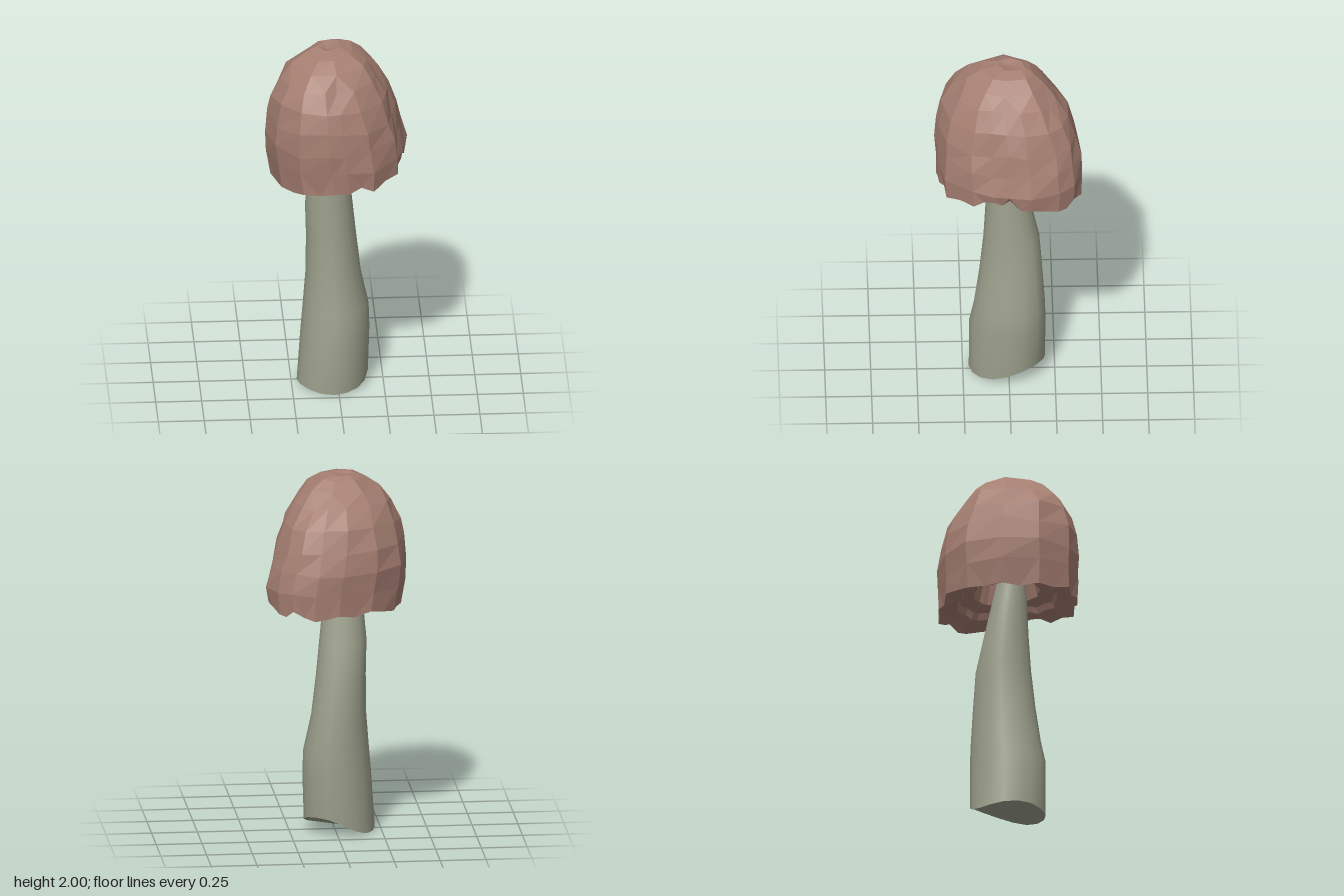
import * as THREE from 'three';
import { toCreasedNormals } from 'three/addons/utils/BufferGeometryUtils.js';

// Skin a list of closed rings (equal point counts) with triangles
function loft(rings) {
  const n = rings[0].length, index = [];
  for (let j = 0; j < rings.length - 1; j++) {
    for (let i = 0; i < n; i++) {
      const k = (i + 1) % n;
      const a = j * n + i, b = j * n + k, c = a + n, d = b + n;
      index.push(a, c, b, b, c, d);
    }
  }
  const geo = new THREE.BufferGeometry().setFromPoints(rings.flat());
  geo.setIndex(index);
  return geo;
}

// Small repeatable noise in -1..1
let seed = 7;
function noise() {
  seed = (seed * 16807) % 2147483647;
  return (seed / 2147483647) * 2 - 1;
}

// Cap outline seen from above with the rim height at each corner: x, z, y
const outline = [
  [0.365, 0, 1.345], [0.35, 0.09, 1.35], [0.325, 0.2, 1.31], [0.18, 0.345, 1.29],
  [0.04, 0.385, 1.305], [-0.05, 0.395, 1.27], [-0.22, 0.37, 1.27], [-0.34, 0.22, 1.24],
  [-0.395, 0.02, 1.26], [-0.34, -0.18, 1.27], [-0.19, -0.315, 1.275], [0, -0.385, 1.285],
  [0.14, -0.395, 1.285], [0.265, -0.355, 1.29], [0.34, -0.275, 1.29], [0.39, -0.12, 1.31],
];
const SIDES = outline.length;

// Ring fitted to bounds [xMin, xMax, zMin, zMax]; points are merged so that
// only every `step`-th of the 32 stays (2 = 16 facets, 4 = 8 facets)
function capRing(y, [x0, x1, z0, z1], jitter = 0, step = 2) {
  const main = outline.map(([x, z]) => new THREE.Vector3(
    (x0 + x1) / 2 + (x / 0.393) * (x1 - x0) / 2 + noise() * jitter,
    y + noise() * jitter * 1.8,
    (z0 + z1) / 2 + (z / 0.395) * (z1 - z0) / 2 + noise() * jitter));
  return Array.from({ length: SIDES * 2 },
    (_, i) => main[(Math.round(i / step) * step / 2) % SIDES]);
}

// Ragged lip, with an extra point halfway along each side
function lipRing() {
  const corners = outline.map(([x, z, y]) => new THREE.Vector3(x * 0.935 + 0.012, y, z * 0.975));
  const points = corners.flatMap((p, i) => [p, p.clone().lerp(corners[(i + 1) % SIDES], 0.5)]);
  points.forEach((p) => {
    const s = 1 + noise() * 0.025;
    p.set(p.x * s, p.y + noise() * 0.025, p.z * s);
  });
  return points;
}

function buildCap() {
  const lip = lipRing();
  const inset = (scale, lift, flat) => lip.map((p) => new THREE.Vector3(
    p.x * scale - 0.04 * (1 - scale), THREE.MathUtils.lerp(p.y, 1.285, flat) + lift, p.z * scale));
  return loft([
    // small hollow around the stem, then the broad stepped underside
    capRing(1.52, [-0.04, -0.04, 0.02, 0.02]),
    inset(0.4, 0.19, 1),
    inset(0.47, 0.07, 0.8),
    inset(0.68, 0.06, 0.6),
    inset(0.72, 0.025, 0.5),
    inset(0.9, 0.015, 0.2),
    lip,
    // outer dome
    capRing(1.4, [-0.386, 0.39, -0.392, 0.396], 0.005),
    capRing(1.51, [-0.392, 0.362, -0.387, 0.397], 0.008),
    capRing(1.63, [-0.385, 0.338, -0.368, 0.395], 0.009),
    capRing(1.74, [-0.36, 0.29, -0.322, 0.36], 0.009),
    capRing(1.85, [-0.31, 0.232, -0.25, 0.298], 0.008),
    capRing(1.93, [-0.25, 0.17, -0.19, 0.23], 0.006, 4),
    capRing(1.98, [-0.165, 0.09, -0.135, 0.155], 0.004, 4),
    capRing(1.999, [-0.105, 0.02, -0.085, 0.06], 0, 4),
    capRing(1.987, [-0.055, -0.055, 0.015, 0.015]),
  ]);
}

// Stem levels: y, xMin, xMax, zMin, zMax, diagonal bulge
const stemLevels = [
  [0, -0.22, 0.164, -0.193, 0.217, 0.08],
  [0.32, -0.199, 0.17, -0.194, 0.215, 0.13],
  [0.45, -0.187, 0.166, -0.19, 0.188, 0.14],
  [0.65, -0.171, 0.125, -0.178, 0.16, 0.12],
  [0.87, -0.168, 0.102, -0.164, 0.137, 0.07],
  [1.06, -0.174, 0.083, -0.122, 0.126, 0.05],
  [1.3, -0.153, 0.058, -0.068, 0.115, 0.04],
  [1.5, -0.125, 0.035, -0.025, 0.1, 0],
];

function buildStem() {
  const n = 16;
  const ring = ([y, x0, x1, z0, z1, bulge], scale = 1) => Array.from({ length: n }, (_, i) => {
    const t = (i / n) * Math.PI * 2;
    // one back corner is notched at the foot and swells above it
    const corner = Math.max(0, Math.cos(t + Math.PI / 4));
    const notch = 0.1 * corner ** 2 + 0.007 * (1 + Math.sin(3 * t));
    const r = scale * (1 + bulge * (corner ** 4 - 0.3 * Math.max(0, Math.sin(2 * t))));
    return new THREE.Vector3(
      (x0 + x1) / 2 + Math.cos(t) * r * (x1 - x0) / 2,
      y + (y === 0 ? notch * scale + 0.02 * (1 - scale) : 0),
      (z0 + z1) / 2 + Math.sin(t) * r * (z1 - z0) / 2);
  });
  const geo = loft([
    ring(stemLevels[0], 0),
    ...stemLevels.map((level) => ring(level)),
    ring(stemLevels[stemLevels.length - 1], 0),
  ]);
  return toCreasedNormals(geo, 0.7);
}

export function createModel() {
  seed = 7;
  const group = new THREE.Group();
  group.name = 'mushroom';

  const cap = new THREE.Mesh(buildCap(),
    new THREE.MeshStandardMaterial({ color: 0xa67f72, flatShading: true }));
  cap.name = 'cap';

  const stem = new THREE.Mesh(buildStem(),
    new THREE.MeshStandardMaterial({ color: 0x9c9f8b }));
  stem.name = 'stem';

  group.add(cap, stem);
  return group;
}
